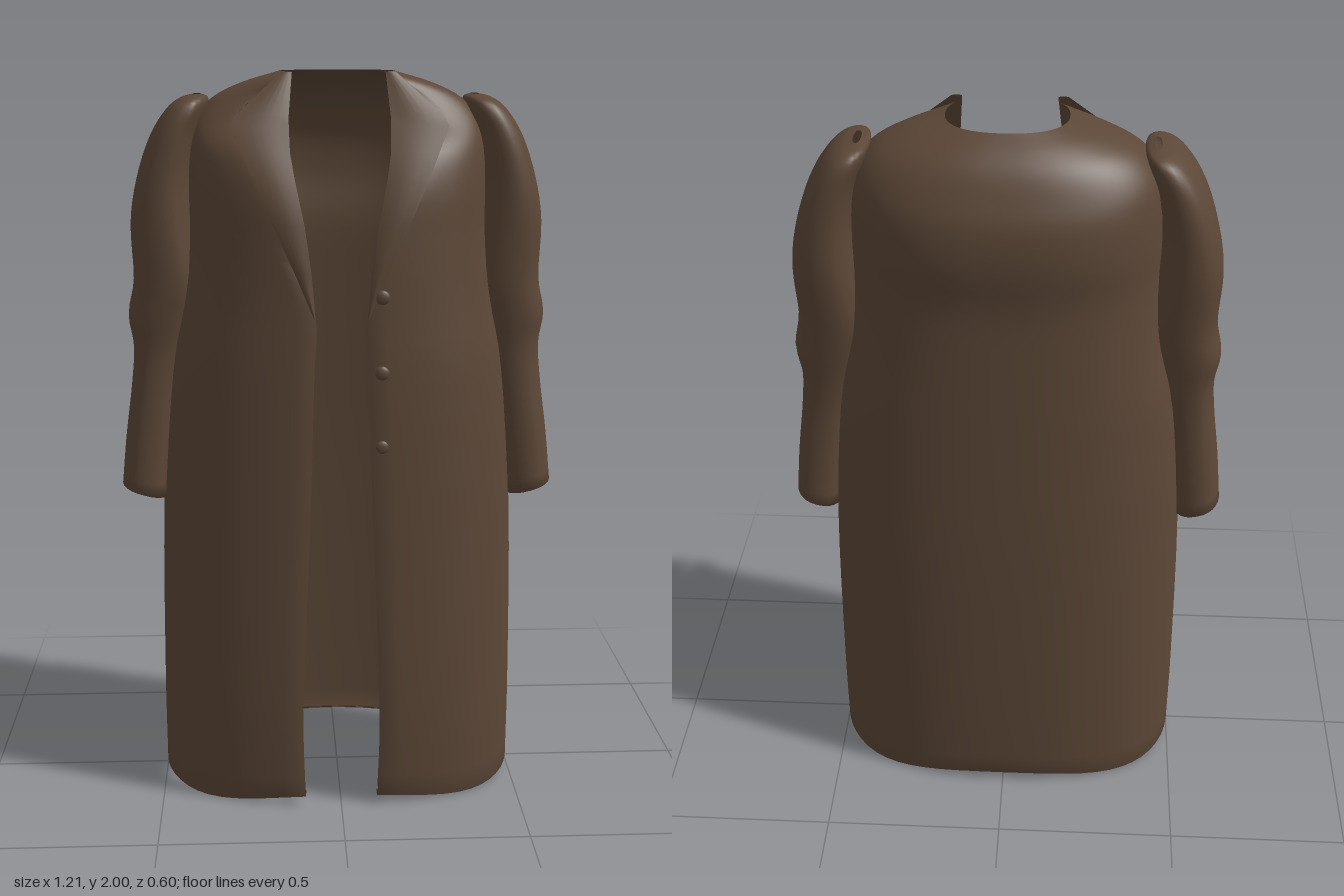
import * as THREE from 'three';
import { mergeVertices } from 'three/addons/utils/BufferGeometryUtils.js';

const cloth = new THREE.MeshStandardMaterial({ color: 0x5c4737, side: THREE.DoubleSide });
cloth.name = 'brownCloth';

// Skin a grid of cross-sections (rows of [x, y, z]), bottom to top
function loft(name, rows) {
  const n = rows[0].length, index = [];
  for (let i = 0; i < rows.length - 1; i++)
    for (let j = 0; j < n - 1; j++) {
      const a = i * n + j, b = a + n;
      index.push(a, a + 1, b, a + 1, b + 1, b);
    }
  let geo = new THREE.BufferGeometry();
  geo.setAttribute('position', new THREE.Float32BufferAttribute(rows.flat(2), 3));
  geo.setIndex(index);
  geo = mergeVertices(geo, 1e-5);
  geo.computeVertexNormals();
  const mesh = new THREE.Mesh(geo, cloth);
  mesh.name = name;
  return mesh;
}

// Smoothly resample a table of section values
function resample(table, steps) {
  const curve = new THREE.CubicInterpolant(table.map((_, i) => i), table.flat(), table[0].length);
  const count = (table.length - 1) * steps;
  return Array.from({ length: count + 1 }, (_, i) => Array.from(curve.evaluate(i / steps)));
}

const mirror = (rows) => rows.map((r) => r.map(([x, y, z]) => [-x, y, z]).reverse());
const P = 0.85; // roundness of the sections
const pow = (v) => Math.sign(v) * Math.abs(v) ** P;

// Open-fronted coat body: height, half width, front z, back z, x of the front edge
const bodyTable = [
  [0.014, 0.5, 0.295, 0.298, 0.1],
  [0.3, 0.5, 0.305, 0.3, 0.105],
  [0.8, 0.49, 0.302, 0.295, 0.085],
  [1.2, 0.46, 0.298, 0.28, 0.073],
  [1.4, 0.425, 0.292, 0.271, 0.07],
  [1.57, 0.405, 0.287, 0.265, 0.14],
  [1.7, 0.402, 0.278, 0.279, 0.205],
  [1.8, 0.398, 0.24, 0.272, 0.255],
  [1.87, 0.385, 0.16, 0.245, 0.28],
  [1.93, 0.335, 0.115, 0.212, 0.225],
  [1.97, 0.255, 0.112, 0.172, 0.17],
  [2.0, 0.155, 0.125, 0.125, 0.12],
];

function bodyRow([y, a, zf, zb, edge], inset = 0) {
  const half = [], n = 28;
  const t0 = Math.asin(Math.min(1, (edge / a) ** (1 / P)));
  for (let i = 0; i <= n; i++) {
    const t = t0 + (Math.PI - t0) * i / n;
    const c = i === n ? -1 : Math.cos(t);
    const wave = 0.014 * Math.cos(4 * t) * Math.max(0, 1 - y / 0.3);
    half.push([
      i === n ? 0 : (a - inset) * pow(Math.sin(t)),
      y + wave + inset,
      pow(c) * ((c > 0 ? zf : zb) - inset),
    ]);
  }
  // Turned-in facing along the front edge
  const [x, h, z] = half[0];
  const turn = y < 1.5 ? 1 : 0.25;
  half.unshift([x + 0.045 * turn, h, z - 0.028 * turn], [x + 0.004, h, z - 0.018 * turn]);
  const other = half.slice(0, -1).map(([px, py, pz]) => [-px, py, pz]).reverse();
  return [...half, ...other];
}

// Sleeve: height, inner x, outer x, front z, back z
const sleeveTable = [
  [0.855, 0.472, 0.604, 0.108, -0.095],
  [1.0, 0.455, 0.59, 0.102, -0.09],
  [1.15, 0.435, 0.571, 0.095, -0.088],
  [1.26, 0.412, 0.562, 0.095, -0.098],
  [1.35, 0.385, 0.574, 0.105, -0.113],
  [1.45, 0.37, 0.557, 0.115, -0.128],
  [1.6, 0.385, 0.561, 0.122, -0.148],
  [1.72, 0.392, 0.541, 0.122, -0.152],
  [1.83, 0.375, 0.503, 0.119, -0.15],
  [1.9, 0.35, 0.458, 0.108, -0.14],
  [1.93, 0.345, 0.42, 0.08, -0.115],
  [1.94, 0.365, 0.385, 0.02, -0.06],
];

function sleeveRow([y, x0, x1, zf, zb], inset = 0) {
  const n = 28, row = [];
  const tilt = 0.28 * Math.max(0, 1 - (y - 0.855) / 0.3);
  for (let i = 0; i <= n; i++) {
    const t = (i % n) / n * Math.PI * 2;
    const dx = ((x1 - x0) / 2 - inset) * pow(Math.cos(t));
    const dz = ((zf - zb) / 2 - inset) * pow(Math.sin(t));
    row.push([(x0 + x1) / 2 + dx, y + dx * tilt + inset * 2, (zf + zb) / 2 - dz]);
  }
  return row;
}

// Lapel: height, inner x, outer x, z
const lapelTable = [
  [1.38, 0.068, 0.072, 0.294],
  [1.5, 0.078, 0.122, 0.291],
  [1.62, 0.095, 0.176, 0.284],
  [1.73, 0.118, 0.225, 0.257],
  [1.8, 0.13, 0.255, 0.222],
  [1.865, 0.132, 0.284, 0.188],
  [1.89, 0.132, 0.272, 0.175],
  [2.0, 0.122, 0.15, 0.118],
];

function lapelRow([y, x0, x1, z]) {
  return Array.from({ length: 7 }, (_, i) => {
    const k = i / 6;
    return [x0 + (x1 - x0) * k, y, z + 0.006 * Math.sin(Math.PI * k)];
  });
}

export function createModel() {
  const coat = new THREE.Group();
  coat.name = 'longCoat';

  // Body with a narrow turned-up hem
  const body = resample(bodyTable, 4);
  coat.add(loft('coatBody', [bodyRow(body[0], 0.012), ...body.map((r) => bodyRow(r))]));

  // Sleeves with turned-in cuffs, and lapels
  const sleeve = resample(sleeveTable, 4);
  const sleeveRows = [sleeveRow(sleeve[0], 0.01), ...sleeve.map((r) => sleeveRow(r))];
  const lapelRows = lapelTable.map(lapelRow);
  coat.add(loft('leftSleeve', sleeveRows), loft('rightSleeve', mirror(sleeveRows)));
  coat.add(loft('leftLapel', lapelRows), loft('rightLapel', mirror(lapelRows)));

  // Three domed buttons on the left front
  for (const y of [1.435, 1.235, 1.035]) {
    const button = new THREE.Mesh(new THREE.SphereGeometry(0.019, 20, 12), cloth);
    button.name = 'button';
    button.scale.z = 0.5;
    button.position.set(0.106, y, 0.292);
    coat.add(button);
  }
  return coat;
}
